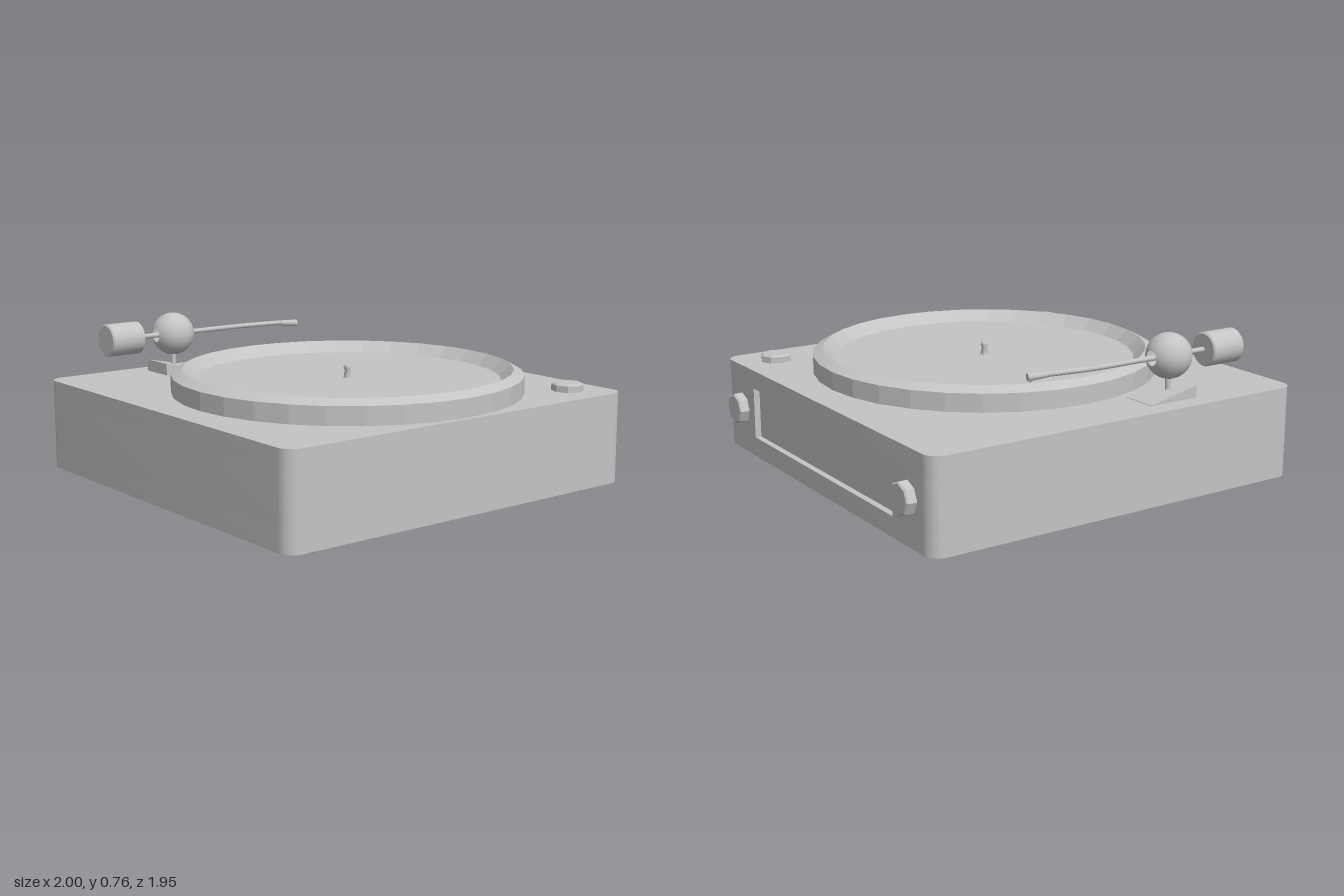
import * as THREE from 'three';
import { toCreasedNormals } from 'three/addons/utils/BufferGeometryUtils.js';

const grey = new THREE.MeshStandardMaterial({ color: 0xc4c4c4, side: THREE.DoubleSide });
grey.name = 'light grey';

const V3 = (x, y, z) => new THREE.Vector3(x, y, z);
const ARM_Y = 0.655, ARM_Z = -0.795, PIVOT_X = -0.398;

function add(parent, name, geometry, x = 0, y = 0, z = 0) {
  const mesh = new THREE.Mesh(geometry, grey);
  mesh.name = name;
  mesh.position.set(x, y, z);
  parent.add(mesh);
  return mesh;
}

// Turned part; crease angle decides whether its sides look faceted or smooth
function turned(points, sides, crease = 0.1) {
  const profile = points.map(([r, y]) => new THREE.Vector2(r, y));
  return toCreasedNormals(new THREE.LatheGeometry(profile, sides), crease);
}

// Plan of the case with rounded corners, with an optional notch in its left side
function plan(notched) {
  const s = new THREE.Shape(), x0 = -1, x1 = 0.953, h = 0.977, r = 0.07;
  s.moveTo(x0 + r, -h);
  s.lineTo(x1 - r, -h);
  s.absarc(x1 - r, -h + r, r, -Math.PI / 2, 0, false);
  if (notched) {
    s.lineTo(x1, -0.663);
    s.lineTo(x1 - 0.03, -0.663);
    s.lineTo(x1 - 0.03, 0.663);
    s.lineTo(x1, 0.663);
  }
  s.absarc(x1 - r, h - r, r, 0, Math.PI / 2, false);
  s.absarc(x0 + r, h - r, r, Math.PI / 2, Math.PI, false);
  s.absarc(x0 + r, -h + r, r, Math.PI, Math.PI * 1.5, false);
  return s;
}

function slab(y0, y1, notched) {
  const g = new THREE.ExtrudeGeometry(plan(notched), { depth: y1 - y0, bevelEnabled: false, curveSegments: 6 });
  g.rotateX(-Math.PI / 2).translate(0, y0, 0);
  return toCreasedNormals(g, 0.5);
}

export function createModel() {
  const model = new THREE.Group();
  model.name = 'recordPlayer';

  // Case in three layers, the middle one holding the side recess
  const body = new THREE.Group();
  body.name = 'case';
  model.add(body);
  add(body, 'caseBottom', slab(0.035, 0.13, false));
  add(body, 'caseMiddle', slab(0.13, 0.375, true));
  add(body, 'caseTop', slab(0.375, 0.465, false));

  // Feet
  const foot = turned([[0, 0], [0.1, 0], [0.105, 0.006], [0.105, 0.036]], 10);
  for (const x of [-0.818, 0.768])
    for (const z of [-0.795, 0.795]) add(model, 'foot', foot, x, 0, z);

  // Knobs on the top and on the side
  const knob = turned([[0.075, -0.005], [0.075, 0.03], [0.065, 0.037], [0, 0.037]], 8);
  add(model, 'topKnob', knob, 0.77, 0.465, 0.787);
  const sideKnob = turned([[0.075, -0.005], [0.075, 0.04], [0.067, 0.047], [0, 0.047]], 8);
  for (const z of [-0.79, 0.795]) add(model, 'sideKnob', sideKnob, 0.953, 0.25, z).rotation.z = -Math.PI / 2;

  // Platter with raised rim and sunken floor
  const platter = turned([
    [0.825, 0.465], [0.825, 0.55], [0.775, 0.575], [0.72, 0.522], [0, 0.522],
  ], 32);
  add(model, 'platter', platter, -0.023, 0, 0.13);
  const spindle = turned([
    [0.02, 0.52], [0.012, 0.555], [0.018, 0.567], [0.016, 0.58], [0.008, 0.586], [0, 0.587],
  ], 12, 0.9);
  add(model, 'spindle', spindle, -0.023, 0, 0.13);

  // Tonearm assembly
  const arm = new THREE.Group();
  arm.name = 'tonearm';
  model.add(arm);

  // Wedge-shaped mount, sloping down toward the left
  const wedge = new THREE.Shape([
    new THREE.Vector2(-0.495, 0.46), new THREE.Vector2(-0.235, 0.46),
    new THREE.Vector2(-0.235, 0.467), new THREE.Vector2(-0.495, 0.522),
  ]);
  add(arm, 'armMount', new THREE.ExtrudeGeometry(wedge, { depth: 0.175, bevelEnabled: false }), 0, 0, -0.88);
  add(arm, 'armPost', new THREE.CylinderGeometry(0.013, 0.013, 0.12, 12), PIVOT_X, 0.53, ARM_Z);

  // Pivot ball, open where the tube passes through
  const ball = new THREE.SphereGeometry(0.105, 24, 18, 0, Math.PI * 2, 0.33, Math.PI - 0.66);
  ball.rotateZ(-Math.PI / 2);
  add(arm, 'pivotBall', ball, PIVOT_X, ARM_Y, ARM_Z);

  // Counterweight with softened ends
  const weight = turned([
    [0, -0.09], [0.072, -0.09], [0.079, -0.083], [0.079, 0.083], [0.072, 0.09], [0, 0.09],
  ], 28, 0.6);
  add(arm, 'counterweight', weight, -0.69, ARM_Y, ARM_Z).rotation.z = -Math.PI / 2;

  // Bent tube: straight from the weight, then curving toward the platter
  const path = new THREE.CurvePath();
  path.add(new THREE.LineCurve3(V3(-0.62, ARM_Y, ARM_Z), V3(0, ARM_Y, ARM_Z)));
  path.add(new THREE.QuadraticBezierCurve3(
    V3(0, ARM_Y, ARM_Z), V3(0.1, ARM_Y, ARM_Z + 0.008), V3(0.23, ARM_Y, -0.766)));
  path.add(new THREE.LineCurve3(V3(0.23, ARM_Y, -0.766), V3(0.29, ARM_Y - 0.002, -0.752)));
  add(arm, 'armTube', new THREE.TubeGeometry(path, 40, 0.012, 10, false));

  // Head and needle at the free end
  const head = add(arm, 'armHead', new THREE.CylinderGeometry(0.018, 0.013, 0.09, 10), 0.288, 0.651, -0.752);
  head.quaternion.setFromUnitVectors(V3(0, 1, 0), V3(0.97, -0.06, 0.23).normalize());
  add(arm, 'needle', new THREE.ConeGeometry(0.008, 0.02, 8), 0.318, 0.631, -0.745).rotation.x = Math.PI;

  return model;
}
